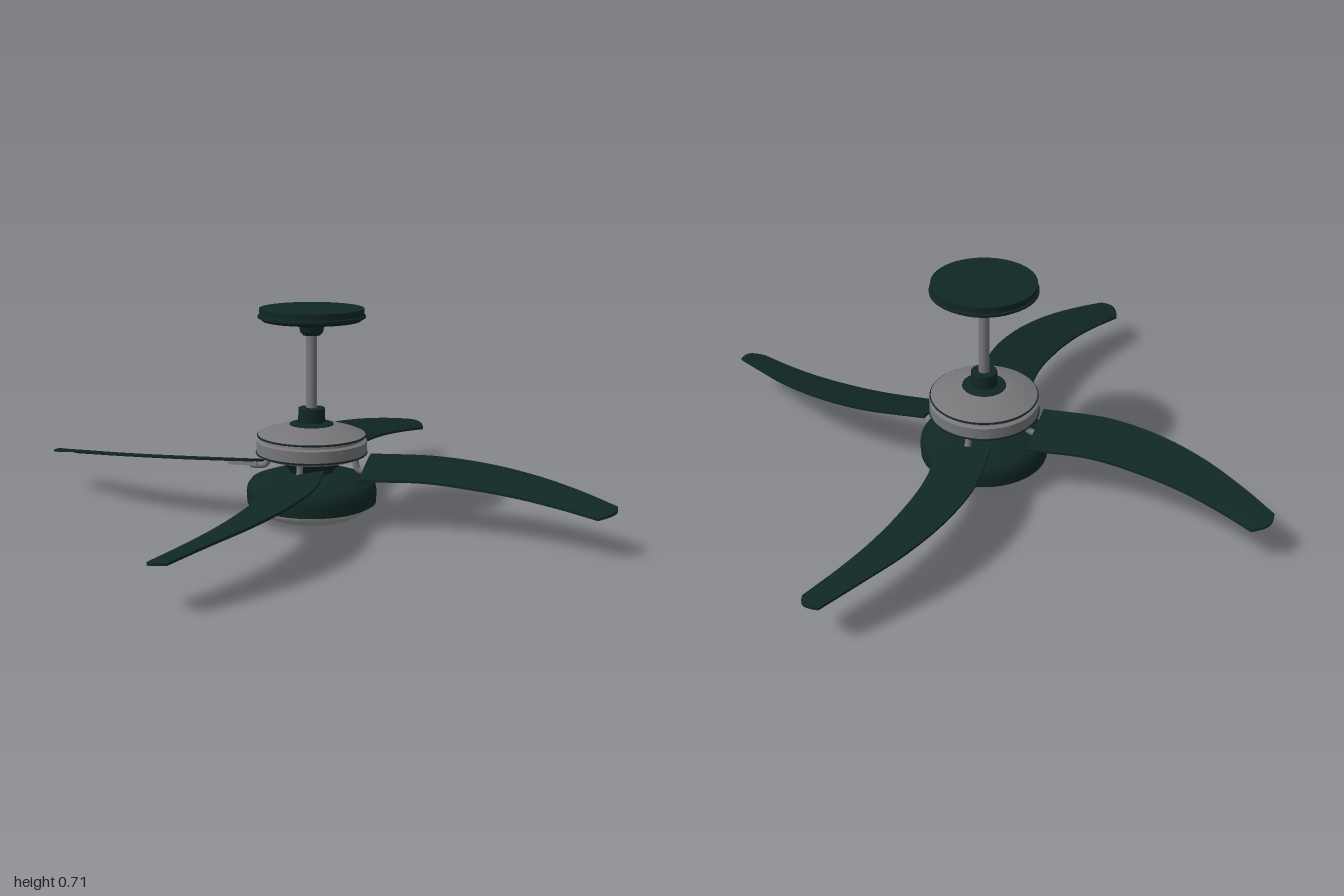
import * as THREE from 'three';
import { toCreasedNormals } from 'three/addons/utils/BufferGeometryUtils.js';

const dark = new THREE.MeshStandardMaterial({ color: 0x102725 });
dark.name = 'darkGreen';
const metal = new THREE.MeshStandardMaterial({ color: 0x77777a });
metal.name = 'greyMetal';
const glass = new THREE.MeshStandardMaterial({ color: 0x9c9c98 });
glass.name = 'paleGlass';

function mesh(name, geometry, material, parent) {
  const m = new THREE.Mesh(geometry, material);
  m.name = name;
  parent.add(m);
  return m;
}

// Profile as [radius, y] pairs, from bottom to top
function turned(name, profile, material, parent) {
  const pts = profile.map(([r, y]) => new THREE.Vector2(r, y));
  return mesh(name, toCreasedNormals(new THREE.LatheGeometry(pts, 48), 0.6), material, parent);
}

const curve = (pts) => new THREE.CatmullRomCurve3(pts.map((p) => new THREE.Vector3(...p)));

// Swept, pitched blade: thin sections between a leading and a trailing edge
function bladeGeometry() {
  const lead = curve([[0.18, 0.212, -0.09], [0.4, 0.211, -0.113], [0.58, 0.202, -0.085],
    [0.74, 0.187, -0.025], [0.88, 0.168, 0.055], [0.995, 0.146, 0.13]]);
  const trail = curve([[0.18, 0.165, 0.09], [0.38, 0.168, 0.066], [0.55, 0.16, 0.081],
    [0.7, 0.15, 0.114], [0.83, 0.138, 0.16], [0.94, 0.126, 0.208]]);
  const U = 28, V = 8, T = 0.004, ring = 2 * (V + 1);
  const pos = [], idx = [];
  for (let i = 0; i <= U; i++) {
    const u = i / U, a = lead.getPoint(u), b = trail.getPoint(u);
    for (let j = 0; j < ring; j++) {
      const top = j <= V;
      const v = (top ? j : ring - 1 - j) / V;
      const p = a.clone().lerp(b, v);
      const bulge = Math.sin(Math.PI * v);
      pos.push(p.x + 0.02 * bulge * u ** 8, p.y + 0.004 * bulge + (top ? T : -T),
        p.z + 0.012 * bulge * u ** 8);
    }
  }
  for (let i = 0; i < U; i++) {
    for (let j = 0; j < ring; j++) {
      const k = (j + 1) % ring;
      const a = i * ring + j, b = i * ring + k, c = a + ring, d = b + ring;
      idx.push(a, b, c, b, d, c);
    }
  }
  // Close root and tip
  for (let j = 0; j < V; j++) {
    const t0 = j, t1 = j + 1, b0 = ring - 1 - j, b1 = ring - 2 - j, e = U * ring;
    idx.push(t0, b0, t1, t1, b0, b1);
    idx.push(e + t0, e + t1, e + b0, e + t1, e + b1, e + b0);
  }
  const g = new THREE.BufferGeometry();
  g.setAttribute('position', new THREE.Float32BufferAttribute(pos, 3));
  g.setIndex(idx);
  return toCreasedNormals(g, 0.7);
}

export function createModel() {
  const fan = new THREE.Group();
  fan.name = 'ceilingFan';

  // Ceiling mount and rod
  turned('canopy', [[0, 0.62], [0.028, 0.62], [0.038, 0.632], [0.04, 0.648], [0.05, 0.652],
    [0.16, 0.668], [0.168, 0.676], [0.175, 0.678], [0.175, 0.685], [0.17, 0.687],
    [0.17, 0.708], [0, 0.708]], dark, fan);
  const rod = mesh('rod', new THREE.CylinderGeometry(0.018, 0.018, 0.32, 24), metal, fan);
  rod.position.y = 0.49;
  turned('rodCollar', [[0.075, 0.315], [0.072, 0.328], [0.045, 0.334], [0.043, 0.38],
    [0.0, 0.382]], dark, fan);

  // Motor with its dark seams
  turned('motorHousing', [[0, 0.214], [0.14, 0.214], [0.165, 0.221], [0.182, 0.232],
    [0.182, 0.272], [0.17, 0.277], [0.168, 0.287], [0.177, 0.289], [0.177, 0.294],
    [0.15, 0.305], [0.11, 0.317], [0.07, 0.326], [0, 0.328]], metal, fan);
  for (const [r, y] of [[0.178, 0.29], [0.182, 0.232]]) {
    const seam = mesh('motorSeam', new THREE.TorusGeometry(r, 0.003, 6, 48), dark, fan);
    seam.rotation.x = Math.PI / 2;
    seam.position.y = y;
  }

  // Hub, light housing and glass bowl
  turned('hub', [[0.07, 0.15], [0.075, 0.175], [0.1, 0.2], [0.11, 0.216]], dark, fan);
  turned('lightHousing', [[0, 0.058], [0.2, 0.058], [0.2, 0.064], [0.214, 0.066], [0.216, 0.1],
    [0.212, 0.122], [0.2, 0.138], [0.16, 0.152], [0.1, 0.167], [0, 0.167]], dark, fan);
  const bowl = [];
  for (let i = 0; i <= 12; i++) {
    const a = (i / 12) * Math.PI / 2;
    bowl.push([0.192 * Math.sin(a), 0.06 - 0.06 * Math.cos(a)]);
  }
  turned('glassBowl', bowl, glass, fan);

  // Four blades, each on a bent bracket
  const blade = bladeGeometry();
  const elbow = new THREE.TubeGeometry(curve([[0.148, 0.225, 0], [0.15, 0.2, 0],
    [0.158, 0.181, 0], [0.18, 0.176, 0], [0.21, 0.176, 0]]), 16, 0.011, 10);
  const plate = new THREE.BoxGeometry(0.1, 0.014, 0.04);
  for (let i = 0; i < 4; i++) {
    const arm = new THREE.Group();
    arm.name = 'bladeArm';
    arm.rotation.y = i * Math.PI / 2;
    mesh('blade', blade, dark, arm);
    mesh('bracketElbow', elbow, metal, arm);
    const p = mesh('bracketPlate', plate, metal, arm);
    p.position.set(0.235, 0.178, 0);
    p.rotation.x = 0.25;
    fan.add(arm);
  }
  return fan;
}
